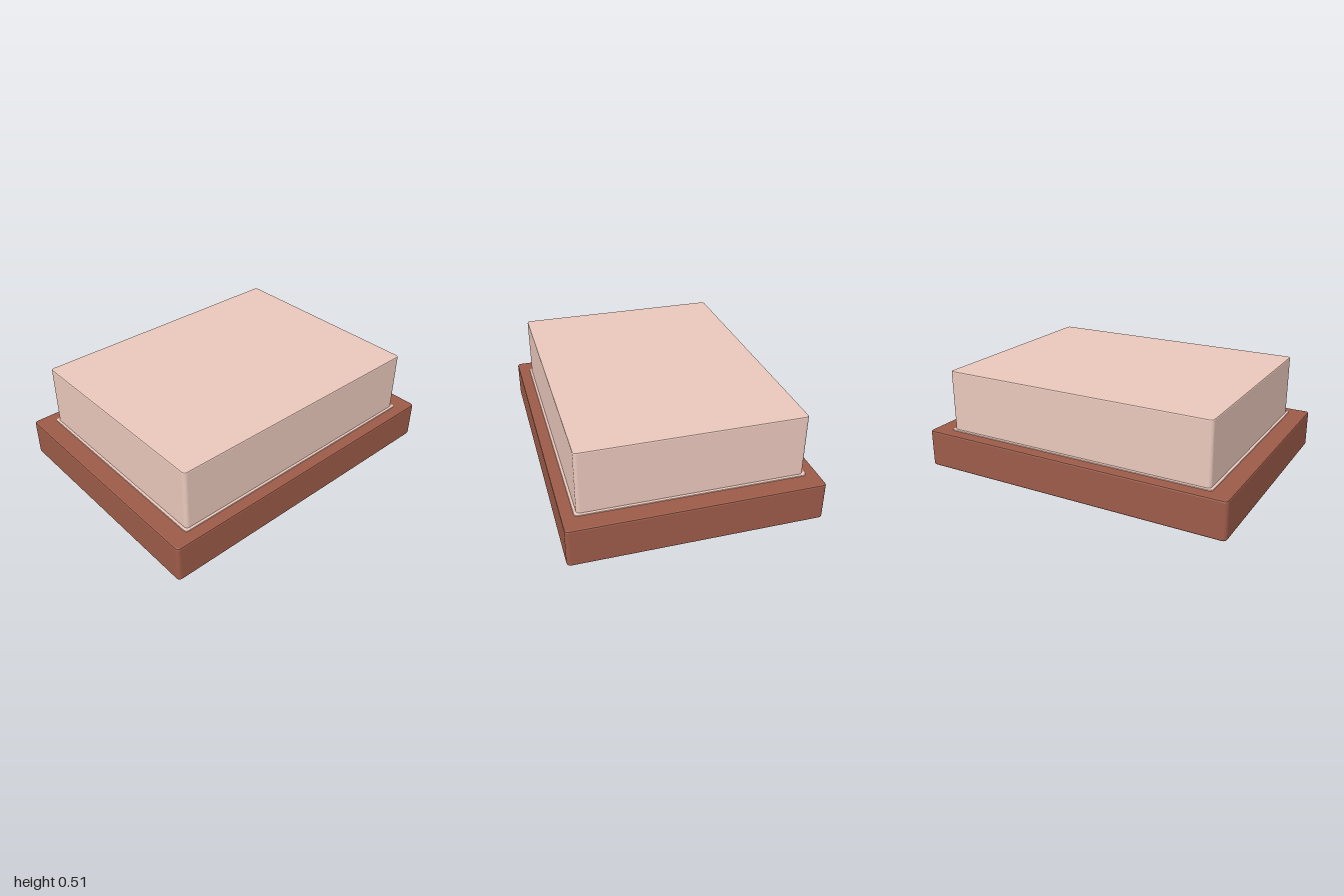
import * as THREE from 'three';

const brown = new THREE.MeshStandardMaterial({ color: 0x9c5b49 });
const pink = new THREE.MeshStandardMaterial({ color: 0xeac8bc });

// Upright slab with rounded corners and small bevels on its rims
function slab(name, w, d, y0, y1, corner, bevel, material) {
  const x = w / 2 - bevel, y = d / 2 - bevel, r = corner;
  const s = new THREE.Shape();
  s.absarc(x - r, y - r, r, 0, Math.PI / 2);
  s.absarc(-x + r, y - r, r, Math.PI / 2, Math.PI);
  s.absarc(-x + r, -y + r, r, Math.PI, Math.PI * 1.5);
  s.absarc(x - r, -y + r, r, Math.PI * 1.5, Math.PI * 2);
  const geometry = new THREE.ExtrudeGeometry(s, {
    depth: y1 - y0 - 2 * bevel,
    curveSegments: 3,
    bevelEnabled: bevel > 0,
    bevelSize: bevel,
    bevelThickness: bevel,
    bevelSegments: 2,
  });
  geometry.rotateX(-Math.PI / 2);
  geometry.translate(0, y0 + bevel, 0);
  const mesh = new THREE.Mesh(geometry, material);
  mesh.name = name;
  return mesh;
}

export function createModel() {
  const model = new THREE.Group();
  model.name = 'steppedBlock';

  // Wide base and its pale underside
  model.add(slab('base', 1.643, 1.23, 0.002, 0.193, 0.012, 0.008, brown));
  model.add(slab('underside', 1.626, 1.213, 0, 0.01, 0.012, 0, pink));

  // Narrow lip where the block meets the base
  model.add(slab('lip', 1.455, 1.112, 0.185, 0.198, 0.012, 0.005, pink));

  // Tall upper block
  model.add(slab('upperBlock', 1.428, 1.086, 0.19, 0.512, 0.012, 0.006, pink));

  model.rotation.y = THREE.MathUtils.degToRad(25);
  return model;
}
